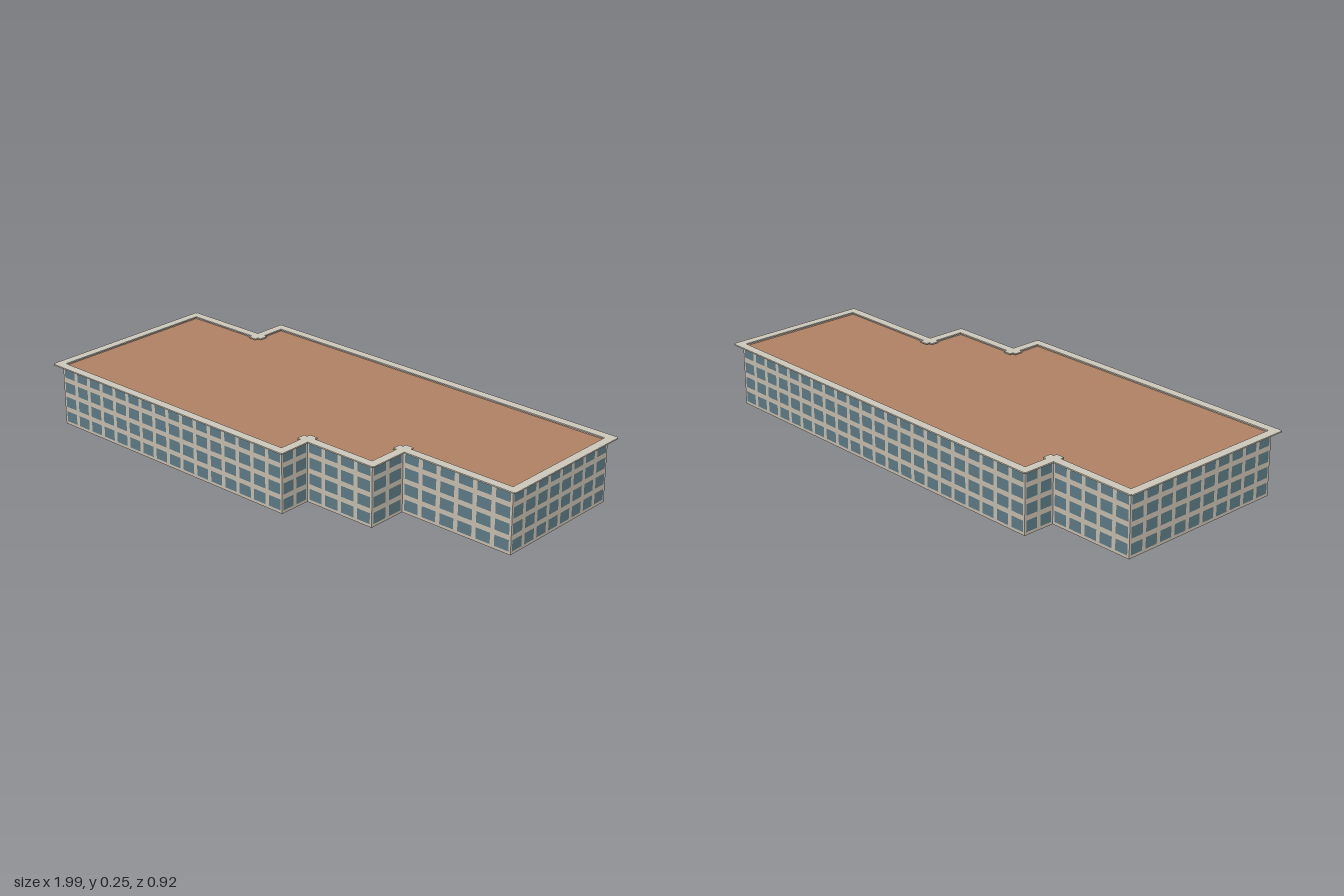
import * as THREE from 'three';

const WALL_H = 0.245, FLOORS = 4, ROOF_Y = 0.238;

// Footprint corners (x, z) and the number of window bays on the wall that starts there
const PLAN = [
  [-0.967, 0.419, 16], [0.192, 0.419, 2], [0.192, 0.288, 4], [0.493, 0.288, 2], [0.493, 0.125, 6],
  [0.967, 0.125, 8], [0.967, -0.421, 22], [-0.613, -0.421, 2], [-0.613, -0.289, 5], [-0.967, -0.289, 10],
];

const paint = (color) => new THREE.MeshStandardMaterial({ color, side: THREE.DoubleSide });
const wallMat = paint(0xcabfb0), glassMat = paint(0x5d7b86), roofMat = paint(0xb28264), rimMat = paint(0xcfcabc);

function rect(Type, x, y, w, h) {
  const r = new Type();
  r.moveTo(x, y);
  r.lineTo(x + w, y);
  r.lineTo(x + w, y + h);
  r.lineTo(x, y + h);
  r.closePath();
  return r;
}

function addMesh(parent, name, geometry, material) {
  const mesh = new THREE.Mesh(geometry, material);
  mesh.name = name;
  parent.add(mesh);
  return mesh;
}

// One facade: wall sheet pierced by a window grid, glass panes, and its length of roof rim
function makeFacade(length, bays) {
  const facade = new THREE.Group();
  facade.name = 'facade';
  const wall = rect(THREE.Shape, 0, 0, length, WALL_H);
  const panes = [];
  const bayW = length / bays, floorH = WALL_H / FLOORS;
  const w = bayW * 0.77, h = 0.0425;
  for (let i = 0; i < bays; i++) {
    for (let j = 0; j < FLOORS; j++) {
      const x = (i + 0.5) * bayW - w / 2, y = j * floorH + 0.0112;
      wall.holes.push(rect(THREE.Path, x, y, w, h));
      panes.push(rect(THREE.Shape, x, y, w, h));
    }
  }
  addMesh(facade, 'wall', new THREE.ShapeGeometry(wall), wallMat);
  addMesh(facade, 'windows', new THREE.ShapeGeometry(panes), glassMat);

  // Rim overhangs outward and runs a little past both corners
  const rim = addMesh(facade, 'roofRim', new THREE.BoxGeometry(length + 0.046, 0.005, 0.035), rimMat);
  rim.position.set(length / 2, WALL_H + 0.0025, 0.0095);
  return facade;
}

export function createModel() {
  const building = new THREE.Group();
  building.name = 'building';

  PLAN.forEach(([x, z, bays], i) => {
    const [nx, nz] = PLAN[(i + 1) % PLAN.length];
    const facade = makeFacade(Math.hypot(nx - x, nz - z), bays);
    facade.position.set(x, 0, z);
    facade.rotation.y = Math.atan2(z - nz, nx - x);
    building.add(facade);
  });

  // Flat roof just below the rim; the building is open underneath
  const outline = new THREE.Shape(PLAN.map(([x, z]) => new THREE.Vector2(x, -z)));
  const roof = addMesh(building, 'roof', new THREE.ShapeGeometry(outline), roofMat);
  roof.rotation.x = -Math.PI / 2;
  roof.position.y = ROOF_Y;

  // The whole block sits slightly turned on its plot
  building.rotation.y = 0.0115;
  const model = new THREE.Group();
  model.name = 'officeBlock';
  model.add(building);
  return model;
}
